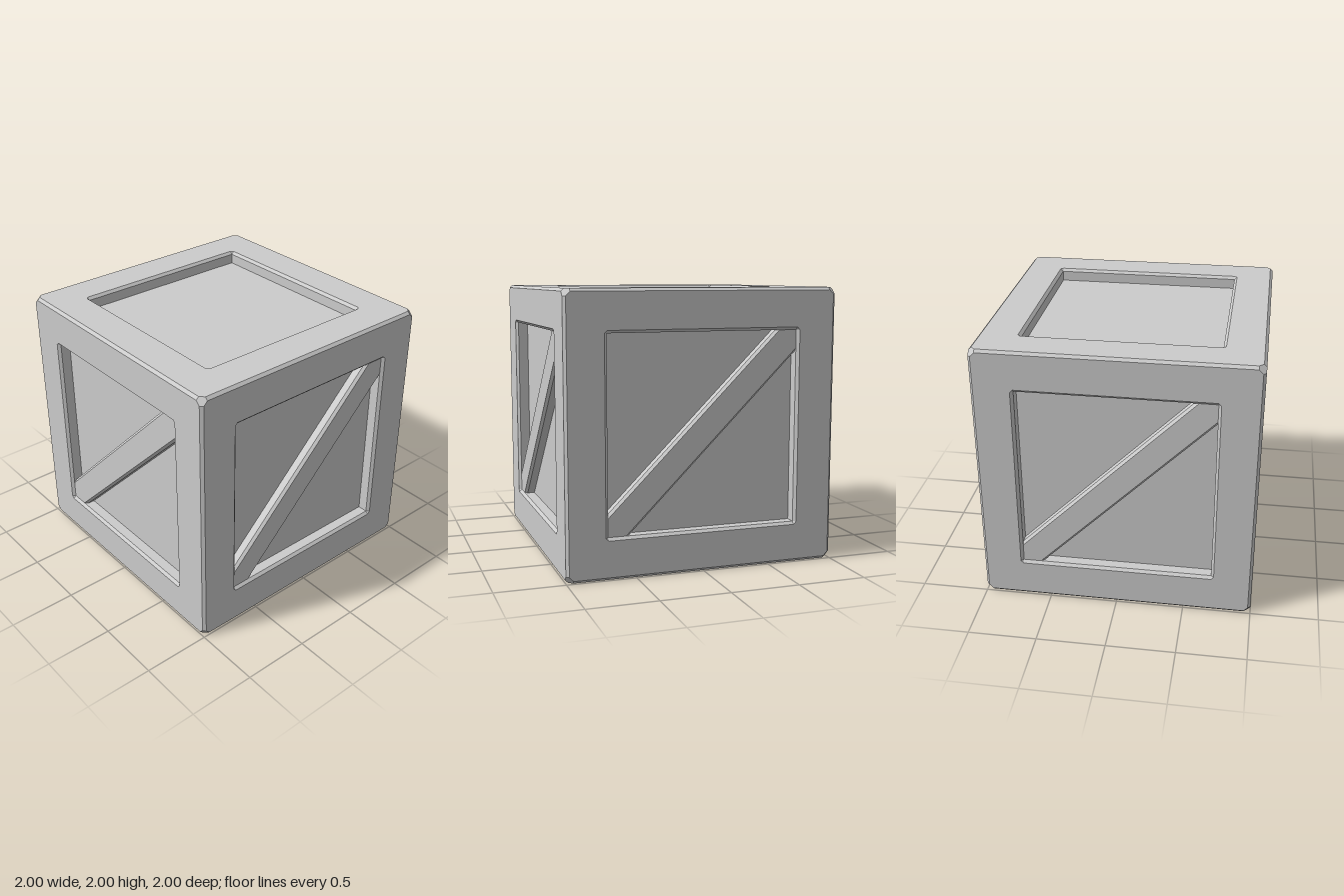
import * as THREE from 'three';

const material = new THREE.MeshStandardMaterial({ color: 0xcccccc, flatShading: true });

// Skins a stack of equal-length loops (counter-clockwise from outside) and caps the last one.
function loft(rings) {
  const positions = [];
  const triangle = (a, b, c) => {
    if (new THREE.Triangle(a, b, c).getArea() > 1e-7) {
      for (const p of [a, b, c]) positions.push(p.x, p.y, p.z);
    }
  };
  const last = rings[rings.length - 1];
  const n = last.length;
  const centre = new THREE.Vector3(0, 0, last[0].z);
  for (let i = 0; i < n; i++) {
    const j = (i + 1) % n;
    for (let k = 0; k < rings.length - 1; k++) {
      const a = rings[k], b = rings[k + 1];
      triangle(a[i], a[j], b[j]);
      triangle(a[i], b[j], b[i]);
    }
    triangle(last[i], last[j], centre);
  }
  const geometry = new THREE.BufferGeometry();
  geometry.setAttribute('position', new THREE.Float32BufferAttribute(positions, 3));
  geometry.computeVertexNormals();
  return geometry;
}

// Square loop with three points per cut corner: (a,b), (m,m), (b,a).
function squareRing(a, b, m, z, zm = z) {
  const axis = new THREE.Vector3(0, 0, 1);
  const corner = [[a, b, z], [m, m, zm], [b, a, z]];
  return [0, 1, 2, 3].flatMap((q) =>
    corner.map((p) => new THREE.Vector3(...p).applyAxisAngle(axis, q * Math.PI / 2)));
}

// Diagonal band across the opening, from lower left to upper right.
function braceRing(w, z) {
  const s = 0.7;
  return [[-s, -s], [w - s, -s], [s, s - w], [s, s], [s - w, s], [-s, w - s]]
    .map(([x, y]) => new THREE.Vector3(x, y, z));
}

export function createModel() {
  const crate = new THREE.Group();
  crate.name = 'crate';

  // Half of each edge chamfer, then the flat border
  const border = [
    squareRing(0.99, 0.95, 0.9767, 0.99, 0.9767),
    squareRing(0.98, 0.95, 0.965, 1),
  ];
  // Bevelled opening and sunken panel
  const framedGeometry = loft([
    ...border,
    squareRing(0.72, 0.7, 0.71, 1),
    squareRing(0.7, 0.7, 0.7, 0.98),
    squareRing(0.7, 0.7, 0.7, 0.905),
  ]);
  const baseGeometry = loft(border);
  const braceGeometry = loft([braceRing(0.155, 0.905), braceRing(0.155, 0.96), braceRing(0.13, 0.98)]);

  const addFace = (name, geometry, rotX, rotY) => {
    const face = new THREE.Group();
    face.name = name;
    const panel = new THREE.Mesh(geometry, material);
    panel.name = name + 'Panel';
    face.add(panel);
    face.rotation.set(rotX, rotY, 0);
    face.position.y = 1;
    crate.add(face);
    return face;
  };

  // Four braced sides
  ['front', 'left', 'back', 'right'].forEach((name, i) => {
    const side = addFace(name, framedGeometry, 0, i * Math.PI / 2);
    const brace = new THREE.Mesh(braceGeometry, material);
    brace.name = name + 'Brace';
    side.add(brace);
  });

  // Recessed lid and plain base
  addFace('lid', framedGeometry, -Math.PI / 2, 0);
  addFace('base', baseGeometry, Math.PI / 2, 0);

  return crate;
}
